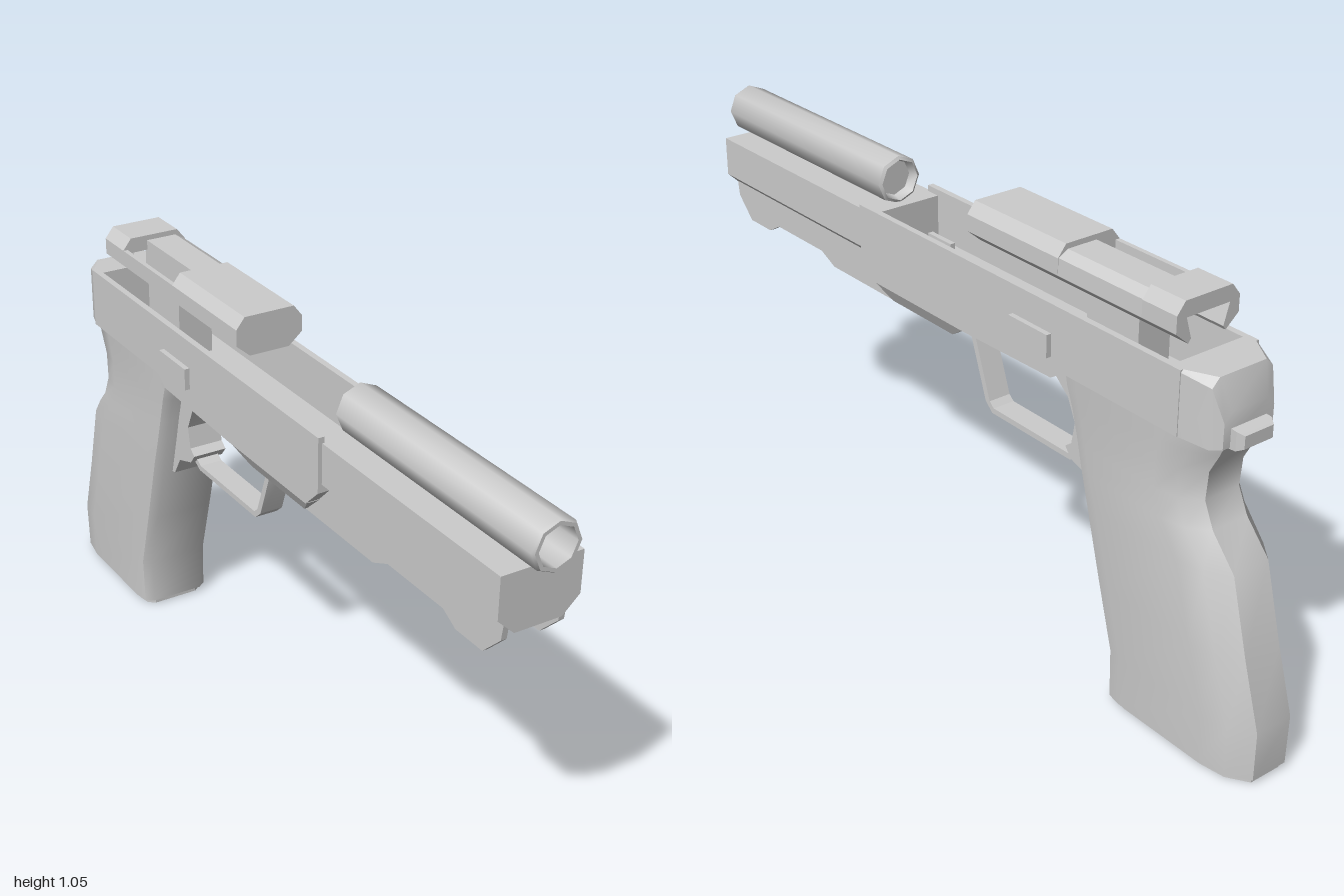
import * as THREE from 'three';
import { toCreasedNormals } from 'three/addons/utils/BufferGeometryUtils.js';

const material = new THREE.MeshStandardMaterial({ color: 0xcccccc, side: THREE.DoubleSide });

export function createModel() {
  const model = new THREE.Group();

  const add = (name, geometry, crease = 0.5) => {
    const mesh = new THREE.Mesh(toCreasedNormals(geometry, crease), material);
    mesh.name = name;
    model.add(mesh);
    return mesh;
  };
  const toShape = (pts) => new THREE.Shape(pts.map(([a, b]) => new THREE.Vector2(a, b)));

  // Side profile of [z, y] points, given a width across x
  const side = (name, pts, width, x = 0) => {
    const g = new THREE.ExtrudeGeometry(toShape(pts), { depth: width, bevelEnabled: false });
    g.rotateY(-Math.PI / 2).translate(x + width / 2, 0, 0);
    return add(name, g);
  };
  // Front profile of [x, y] points, running from z0 to z1
  const along = (name, pts, z0, z1) => {
    const g = new THREE.ExtrudeGeometry(toShape(pts), { depth: z1 - z0, bevelEnabled: false });
    return add(name, g.translate(0, 0, z0));
  };
  const box = (name, w, h, d, x, y, z) => add(name, new THREE.BoxGeometry(w, h, d).translate(x, y, z));

  // Closed skin over a stack of rings with equal point counts
  const loft = (name, rings, crease) => {
    const n = rings[0].length;
    const index = [];
    for (let r = 0; r < rings.length - 1; r++) {
      for (let i = 0; i < n; i++) {
        const a = r * n + i, b = r * n + (i + 1) % n;
        index.push(a, b, b + n, a, b + n, a + n);
      }
    }
    const top = (rings.length - 1) * n;
    for (let i = 1; i < n - 1; i++) index.push(0, i + 1, i, top, top + i, top + i + 1);
    const g = new THREE.BufferGeometry();
    g.setAttribute('position', new THREE.Float32BufferAttribute(rings.flat(2), 3));
    g.setIndex(index);
    return add(name, g, crease);
  };

  // Eight-sided barrel, bored from the muzzle and dished at the rear
  const barrelProfile = [[0, 0.34], [0.045, 0.34], [0.052, 0.315], [0.06, 0.32], [0.06, 0.993],
    [0.056, 1], [0.047, 1], [0.044, 0.72], [0, 0.72]];
  const barrel = new THREE.LatheGeometry(barrelProfile.map(([r, z]) => new THREE.Vector2(r, z)), 8);
  add('barrel', barrel.rotateX(Math.PI / 2).translate(0, 0.965, 0), 0.9);

  // Block under the barrel
  along('foreBlock', [[-0.1, 0.91], [-0.1, 0.81], [-0.058, 0.77], [0.058, 0.77], [0.1, 0.81], [0.1, 0.91]], 0.29, 0.96);

  // Frame: floor, two walls around the open channel, and a chamfered chin
  const lowerEdge = [[0.28, 0.742], [-0.07, 0.742], [-0.38, 0.75], [-0.42, 0.775], [-0.77, 0.775]];
  side('frameFloor', [[0.325, 0.8], [0.325, 0.787], ...lowerEdge, [-0.77, 0.8]], 0.2);
  loft('frameChin', [
    [[-0.085, 0.7, 0.235], [0.085, 0.7, 0.235], [0.085, 0.7, 0], [-0.085, 0.7, 0]],
    [[-0.109, 0.745, 0.285], [0.109, 0.745, 0.285], [0.109, 0.745, -0.07], [-0.109, 0.745, -0.07]],
  ]);
  for (const s of [-1, 1]) {
    side('frameWall', [[0.33, 0.925], [0.33, 0.79], ...lowerEdge, [-0.77, 0.925]], 0.016, s * 0.102);
    box('sideButton', 0.02, 0.055, 0.13, s * 0.113, 0.828, -0.315);
    // Scalloped rail plates under the fore block
    side('railPlate', [[0.955, 0.82], [0.945, 0.75], [0.89, 0.695], [0.8, 0.695], [0.755, 0.72],
      [0.555, 0.72], [0.5, 0.695], [0.2, 0.695], [0.2, 0.82]], 0.014, s * 0.07);
  }

  // Tapered rear end of the frame
  const rearRing = (w, top, bottom, z, c = 0.02) => [[-w + c, top, z], [w - c, top, z], [w, top - c, z],
    [w, bottom, z], [-w, bottom, z], [-w, top - c, z]];
  loft('frameRear', [
    rearRing(0.11, 0.925, 0.775, -0.74, 0.003),
    rearRing(0.108, 0.925, 0.775, -0.77, 0.006),
    rearRing(0.085, 0.922, 0.765, -0.835),
    rearRing(0.07, 0.85, 0.77, -0.86),
  ], 0.4);
  loft('rearLatch', [
    [[-0.05, 0.815, -0.84], [0.05, 0.815, -0.84], [0.05, 0.765, -0.84], [-0.05, 0.765, -0.84]],
    [[-0.05, 0.812, -0.875], [0.05, 0.812, -0.875], [0.05, 0.768, -0.875], [-0.05, 0.768, -0.875]],
    [[-0.04, 0.805, -0.89], [0.04, 0.805, -0.89], [0.04, 0.775, -0.89], [-0.04, 0.775, -0.89]],
  ]);

  // Raised top cover: front hood, cut-away middle and rear arch, on a post
  const hood = [[-0.087, 0.98], [-0.052, 0.95], [0.052, 0.95], [0.087, 0.98], [0.087, 1.02], [0.065, 1.048],
    [-0.065, 1.048], [-0.087, 1.02]];
  along('frontHood', hood, -0.37, -0.06);
  along('middleCover', [[-0.02, 0.95], [0.052, 0.95], [0.087, 0.98], [0.085, 1.02], [0.06, 1.035], [-0.02, 1.035]], -0.64, -0.36);
  along('middleSideStrip', [[-0.087, 0.98], [-0.052, 0.95], [-0.045, 0.96], [-0.075, 0.985], [-0.075, 1.02], [-0.087, 1.02]], -0.64, -0.36);
  along('rearArch', [[-0.087, 0.98], [-0.052, 0.95], [-0.045, 0.96], [-0.06, 1.01], [0.06, 1.01], [0.045, 0.96],
    [0.052, 0.95], [0.087, 0.98], [0.087, 1.02], [0.065, 1.048], [-0.065, 1.048], [-0.087, 1.02]], -0.73, -0.63);
  box('coverPost', 0.09, 0.17, 0.16, 0, 0.88, -0.5);

  // Trigger guard band and the strap joining it to the grip
  side('triggerGuard', [[0.01, 0.71], [-0.055, 0.53], [-0.08, 0.508], [-0.36, 0.508], [-0.4, 0.53], [-0.4, 0.55],
    [-0.355, 0.522], [-0.085, 0.522], [-0.07, 0.535], [-0.012, 0.695], [-0.035, 0.735], [-0.06, 0.75], [0.01, 0.75]], 0.06);
  side('gripStrap', [[-0.18, 0.76], [-0.24, 0.747], [-0.3, 0.73], [-0.365, 0.675], [-0.39, 0.62], [-0.38, 0.565],
    [-0.36, 0.55], [-0.38, 0.525], [-0.44, 0.505], [-0.47, 0.455], [-0.5, 0.45], [-0.46, 0.76]], 0.09);

  // Grip: rounded sections [height, front z, back z, half width]
  const gripRing = ([y, f, b, w]) => {
    const d = f - b;
    const half = [[0.72, 0], [0.93, 0.035], [1, 0.12], [1, 0.72], [0.88, 0.88], [0.5, 1]];
    const right = half.map(([k, t]) => [k * w, y, f - d * t]);
    return [...right, ...right.map(([x, yy, z]) => [-x, yy, z]).reverse()];
  };
  loft('grip', [
    [0.015, -0.57, -0.995, 0.097], [0.14, -0.57, -0.997, 0.1], [0.3, -0.525, -0.948, 0.1],
    [0.485, -0.475, -0.898, 0.1], [0.56, -0.455, -0.83, 0.099], [0.62, -0.44, -0.802, 0.098],
    [0.69, -0.42, -0.808, 0.098], [0.74, -0.4, -0.835, 0.099], [0.785, -0.39, -0.855, 0.1],
  ].map(gripRing), 0.7);
  loft('gripBase', [[0, -0.58, -0.985, 0.085], [0.02, -0.58, -0.985, 0.085]].map(gripRing));

  return model;
}
